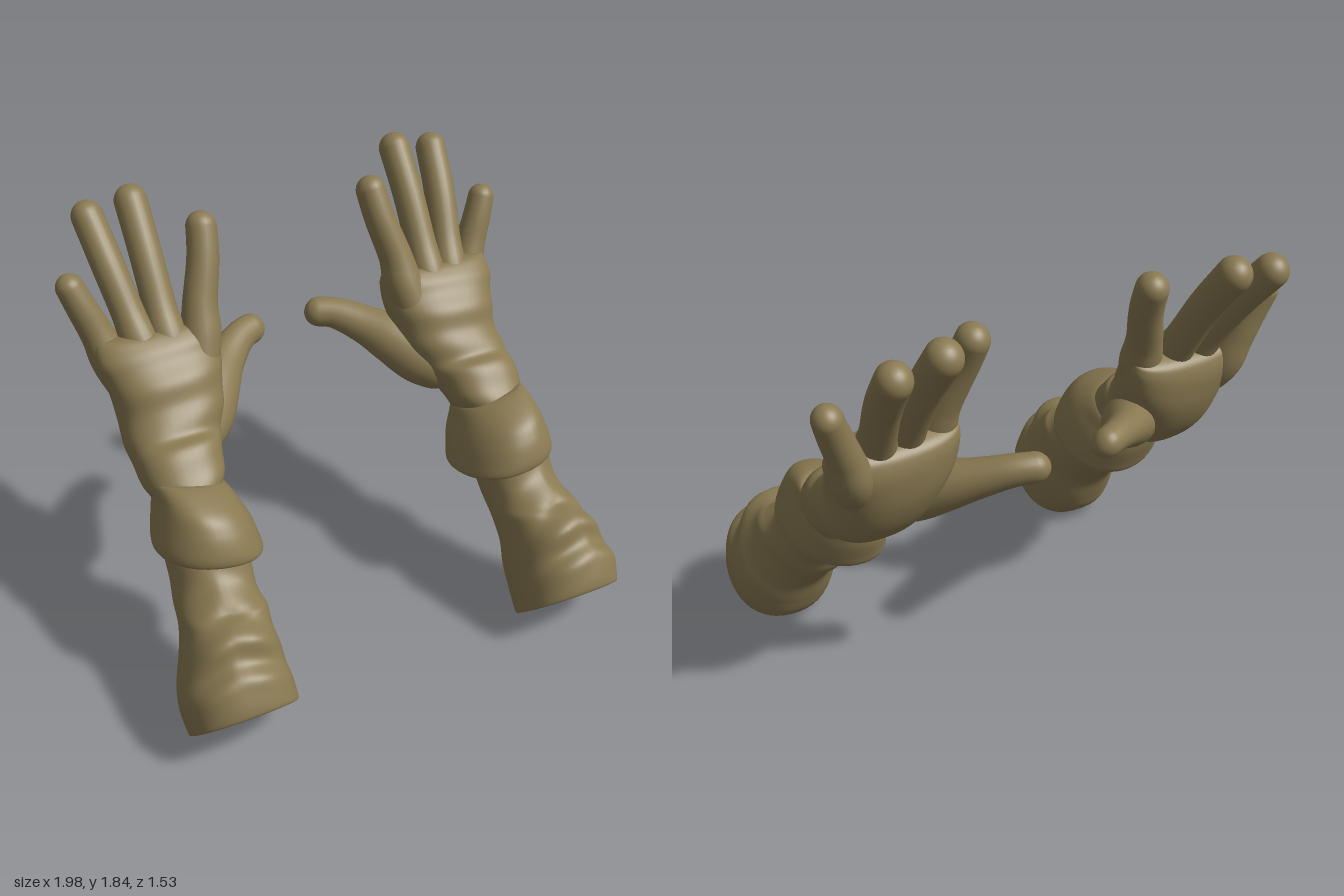
import * as THREE from 'three';

const SEG = 48;

// Skin a list of point rings; side -1 mirrors the part and its facing
function skin(rings, side) {
  const pos = [], idx = [], n = rings[0].length;
  rings.forEach(r => r.forEach(p => pos.push(p.x * side, p.y, p.z)));
  for (let i = 0; i < rings.length - 1; i++) {
    for (let j = 0; j < n; j++) {
      const a = i * n + j, b = i * n + (j + 1) % n, c = a + n, d = b + n;
      if (side > 0) idx.push(a, c, b, b, c, d);
      else idx.push(a, b, c, b, d, c);
    }
  }
  const g = new THREE.BufferGeometry();
  g.setAttribute('position', new THREE.Float32BufferAttribute(pos, 3));
  g.setIndex(idx);
  g.computeVertexNormals();
  return g;
}

const spline = pts => new THREE.CatmullRomCurve3(pts, false, 'catmullrom', 0.5);
const spow = (v, e) => Math.sign(v) * Math.pow(Math.abs(v), e);

// Cloth section: [topZ, topY, bottomZ, bottomY, innerX, outerX], blended smoothly
function clothRings(rows, { power = 2.2, tilt = 0, fold }) {
  const steps = 10;
  const top = spline(rows.map(r => new THREE.Vector3(0, r[1], r[0])));
  const bottom = spline(rows.map(r => new THREE.Vector3(0, r[3], r[2])));
  const width = spline(rows.map(r => new THREE.Vector3(r[4], r[5], 0)));
  const count = (rows.length - 1) * steps, rings = [];
  for (let i = 0; i <= count; i++) {
    const u = i / count;
    const t = top.getPoint(u), b = bottom.getPoint(u), w = width.getPoint(u);
    const half = t.clone().sub(b).multiplyScalar(0.5), mid = t.add(b).multiplyScalar(0.5);
    const ring = [];
    for (let j = 0; j < SEG; j++) {
      const a = j / SEG * Math.PI * 2, s = 1 + fold(u * (rows.length - 1), a);
      const c = spow(Math.cos(a), 2 / power) * s, n = spow(Math.sin(a), 2 / power) * s;
      const p = mid.clone().addScaledVector(half, n);
      p.x = (w.x + w.y) / 2 + (w.y - w.x) / 2 * c;
      p.y += tilt * c;
      ring.push(p);
    }
    rings.push(ring);
  }
  return rings;
}

// Finger along a path of [x, y, z, radius], rounded at both ends
function fingerRings(path, depth) {
  const curve = spline(path.map(p => new THREE.Vector3(p[0], p[1], p[2])));
  const radii = spline(path.map(p => new THREE.Vector3(p[3], 0, 0)));
  const ref = new THREE.Vector3(0, 0.5, 0.85);
  const length = curve.getLength();
  const root = path[0][3] / length, tip = path[path.length - 1][3] / length;
  const us = [];
  for (let i = 0; i < 8; i++) us.push(root * (1 - Math.cos(i / 8 * Math.PI / 2)));
  for (let i = 0; i < 20; i++) us.push(root + i / 20 * (1 - tip - root));
  for (let i = 0; i <= 10; i++) us.push(1 - tip + tip * Math.sin(i / 10 * Math.PI / 2));
  return us.map(u => {
    const p = curve.getPointAt(u), t = curve.getTangentAt(u);
    const s = new THREE.Vector3().crossVectors(t, ref).normalize();
    const n = new THREE.Vector3().crossVectors(s, t);
    const k = Math.max(0, (u - 1 + tip) / tip, (root - u) / root);
    const r = radii.getPoint(curve.getUtoTmapping(u)).x * Math.sqrt(Math.max(1e-6, 1 - k * k));
    return Array.from({ length: 24 }, (_, j) => {
      const a = j / 24 * Math.PI * 2;
      return p.clone().addScaledVector(s, Math.cos(a) * r).addScaledVector(n, Math.sin(a) * r * depth);
    });
  });
}

// Forearm sleeve, starting from its nearly flat end
const sleeve = [
  [0.601, 0.167, 0.60, 0.166, 0.759, 0.761],
  [0.735, 0.30, 0.455, 0.025, 0.565, 0.955],
  [0.762, 0.30, 0.45, 0.005, 0.547, 0.972],
  [0.77, 0.33, 0.43, 0.00, 0.54, 0.98],
  [0.73, 0.42, 0.35, 0.07, 0.545, 0.985],
  [0.665, 0.47, 0.30, 0.16, 0.55, 0.965],
  [0.62, 0.54, 0.25, 0.27, 0.56, 0.93],
  [0.55, 0.575, 0.18, 0.36, 0.56, 0.90],
  [0.48, 0.585, 0.10, 0.44, 0.56, 0.885],
  [0.40, 0.635, 0.05, 0.52, 0.555, 0.87],
  [0.33, 0.72, -0.05, 0.60, 0.555, 0.86],
  [0.25, 0.80, -0.08, 0.66, 0.57, 0.84],
];
// Slanting V folds over the top of the sleeve
const sleeveFold = (v, a) => {
  const top = Math.max(0, Math.sin(a)), fade = THREE.MathUtils.smoothstep(v, 3.2, 5);
  return fade * (0.05 * top * Math.sin(v * 3.1 + 4.2 * Math.abs(Math.cos(a + 0.15)))
    + 0.012 * Math.sin(v * 1.7 + a * 3));
};

// Rolled cuff
const cuff = [
  [0.27, 0.73, -0.01, 0.63, 0.60, 0.82],
  [0.35, 0.695, -0.085, 0.585, 0.50, 0.87],
  [0.37, 0.70, -0.105, 0.59, 0.475, 0.89],
  [0.365, 0.745, -0.125, 0.63, 0.48, 0.89],
  [0.33, 0.82, -0.155, 0.70, 0.50, 0.87],
  [0.27, 0.88, -0.17, 0.76, 0.53, 0.85],
  [0.14, 0.92, -0.175, 0.80, 0.56, 0.84],
  [0.08, 0.90, -0.14, 0.79, 0.59, 0.81],
];
const cuffFold = (v, a) => 0.012 * Math.sin(a * 3 + v * 0.8);

// Wrist and hand, closed at the knuckles
const hand = [
  [0.14, 0.86, -0.14, 0.72, 0.58, 0.82],
  [0.09, 0.94, -0.17, 0.79, 0.54, 0.86],
  [0.00, 1.02, -0.24, 0.82, 0.51, 0.87],
  [-0.07, 1.05, -0.34, 0.86, 0.475, 0.87],
  [-0.13, 1.13, -0.42, 0.95, 0.435, 0.865],
  [-0.19, 1.22, -0.48, 1.08, 0.405, 0.88],
  [-0.26, 1.30, -0.505, 1.19, 0.39, 0.90],
  [-0.32, 1.345, -0.50, 1.27, 0.39, 0.895],
  [-0.365, 1.35, -0.475, 1.31, 0.43, 0.855],
  [-0.42, 1.335, -0.421, 1.334, 0.64, 0.65],
];
const handFold = (v, a) => {
  const fade = 1 - THREE.MathUtils.smoothstep(v, 5.5, 7);
  return fade * (0.03 * Math.max(0, Math.sin(a)) * Math.sin(v * 4.2 + Math.cos(a) * 1.2)
    + 0.015 * Math.sin(v * 2.3 + a * 2));
};

const fingers = {
  indexFinger: [[0.515, 1.12, -0.28, 0.07], [0.468, 1.29, -0.36, 0.083], [0.448, 1.41, -0.40, 0.071], [0.40, 1.58, -0.46, 0.065], [0.374, 1.742, -0.53, 0.061]],
  middleFinger: [[0.60, 1.12, -0.29, 0.07], [0.60, 1.28, -0.37, 0.08], [0.602, 1.40, -0.445, 0.068], [0.602, 1.60, -0.57, 0.066], [0.60, 1.817, -0.735, 0.067]],
  ringFinger: [[0.69, 1.12, -0.30, 0.07], [0.71, 1.28, -0.38, 0.08], [0.73, 1.40, -0.455, 0.067], [0.76, 1.58, -0.57, 0.066], [0.79, 1.785, -0.735, 0.064]],
  littleFinger: [[0.77, 1.06, -0.32, 0.065], [0.825, 1.22, -0.425, 0.08], [0.862, 1.34, -0.462, 0.067], [0.91, 1.47, -0.488, 0.06], [0.955, 1.595, -0.52, 0.053]],
  thumb: [[0.64, 0.92, -0.14, 0.1], [0.52, 0.965, -0.26, 0.125], [0.42, 1.03, -0.37, 0.11], [0.33, 1.08, -0.46, 0.085], [0.22, 1.125, -0.545, 0.068], [0.105, 1.13, -0.595, 0.064]],
};

export function createModel() {
  const model = new THREE.Group();
  const material = new THREE.MeshStandardMaterial({ color: 0x8a7a52 });
  material.name = 'olive cloth';

  const parts = {
    sleeve: clothRings(sleeve, { fold: sleeveFold }),
    cuff: clothRings(cuff, { tilt: 0.03, fold: cuffFold }),
    hand: clothRings(hand, { power: 2.4, fold: handFold }),
  };
  for (const [name, path] of Object.entries(fingers)) {
    parts[name] = fingerRings(path, name === 'thumb' ? 0.9 : 1.05);
  }

  // The right glove is the mirror image of the left one
  for (const [name, side] of [['leftGlove', 1], ['rightGlove', -1]]) {
    const glove = new THREE.Group();
    glove.name = name;
    for (const [part, rings] of Object.entries(parts)) {
      const mesh = new THREE.Mesh(skin(rings, side), material);
      mesh.name = part;
      glove.add(mesh);
    }
    model.add(glove);
  }
  return model;
}
